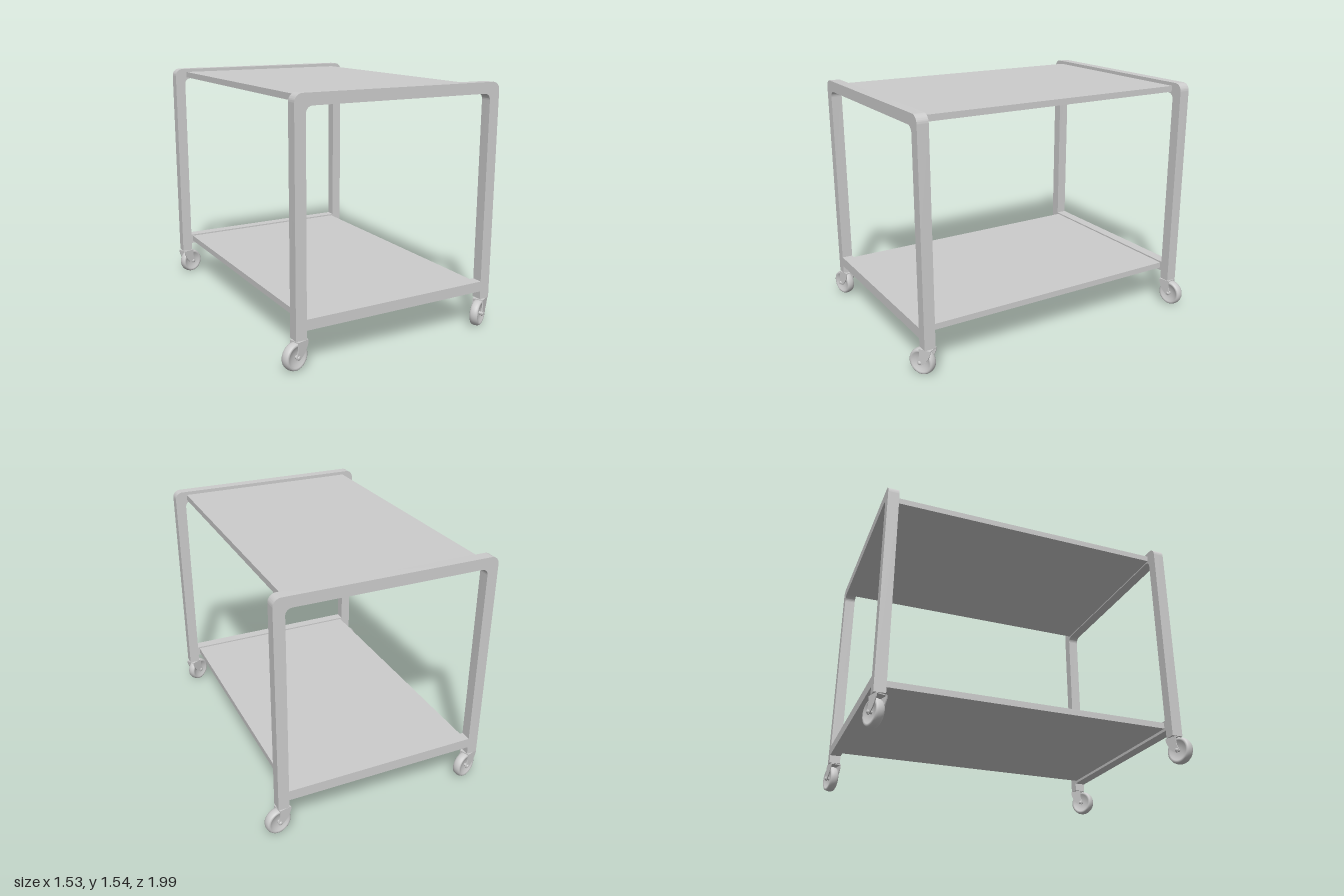
import * as THREE from 'three';
import { toCreasedNormals } from 'three/addons/utils/BufferGeometryUtils.js';

const grey = new THREE.MeshStandardMaterial({ color: 0xcccccc });

function part(name, geometry, x = 0, y = 0, z = 0, parent) {
  const mesh = new THREE.Mesh(geometry, grey);
  mesh.name = name;
  mesh.position.set(x, y, z);
  parent.add(mesh);
  return mesh;
}

// Upside-down U with rounded corners, traced as one half of an outline
function archPoints(path, half, top, bottom, r) {
  path.moveTo(-half, bottom);
  path.lineTo(half, bottom);
  path.lineTo(half, top - r);
  path.absarc(half - r, top - r, r, 0, Math.PI / 2);
  path.lineTo(-half + r, top);
  path.absarc(-half + r, top - r, r, Math.PI / 2, Math.PI);
  path.closePath();
  return path;
}

const DEPTH = 0.07;

// Bent tube frame: legs, top bar and lower cross bar
function endFrame(name, z, parent) {
  const group = new THREE.Group();
  group.name = name;
  group.position.z = z;
  parent.add(group);
  const outer = 0.685, inner = 0.617, top = 1.538, bottom = 0.177;
  const shape = new THREE.Shape();
  shape.moveTo(inner, bottom);
  shape.lineTo(outer, bottom);
  shape.lineTo(outer, top - 0.05);
  shape.absarc(outer - 0.05, top - 0.05, 0.05, 0, Math.PI / 2);
  shape.lineTo(-outer + 0.05, top);
  shape.absarc(-outer + 0.05, top - 0.05, 0.05, Math.PI / 2, Math.PI);
  shape.lineTo(-outer, bottom);
  shape.lineTo(-inner, bottom);
  shape.lineTo(-inner, 1.47 - 0.04);
  shape.absarc(-inner + 0.04, 1.43, 0.04, Math.PI, Math.PI / 2, true);
  shape.lineTo(inner - 0.04, 1.47);
  shape.absarc(inner - 0.04, 1.43, 0.04, Math.PI / 2, 0, true);
  shape.closePath();
  const arch = new THREE.ExtrudeGeometry(shape, { depth: DEPTH, bevelEnabled: false, curveSegments: 10 });
  arch.translate(0, 0, -DEPTH / 2);
  part('legArch', toCreasedNormals(arch, 0.5), 0, 0, 0, group);
  part('lowerCrossBar', new THREE.BoxGeometry(inner * 2, 0.065, DEPTH), 0, 0.262, 0, group);
}

const R = 0.0825, TRAIL = 0.035;

// Dished wheel with a rounded tread, spun about its axle
function wheelGeometry() {
  const side = [[0, 0.012], [0.02, 0.012], [0.045, 0.016], [0.062, 0.025], [0.07, 0.027], [0.077, 0.023], [0.081, 0.013]];
  const points = [
    ...side.map(([r, h]) => new THREE.Vector2(r, -h)),
    new THREE.Vector2(R, 0),
    ...side.map(([r, h]) => new THREE.Vector2(r, h)).reverse(),
  ];
  return new THREE.LatheGeometry(points, 40).rotateX(Math.PI / 2);
}

// Fork cheek: wide at the top plate, curving down to the axle
function cheekGeometry() {
  const shape = new THREE.Shape();
  shape.moveTo(-0.04, 0.17);
  shape.lineTo(-0.04, 0.155);
  shape.quadraticCurveTo(-0.02, 0.09, TRAIL - 0.008, R - 0.016);
  shape.absarc(TRAIL, R, 0.017, -2, 0.6);
  shape.quadraticCurveTo(0.032, 0.12, 0.037, 0.17);
  shape.closePath();
  const g = new THREE.ExtrudeGeometry(shape, { depth: 0.006, bevelEnabled: false, curveSegments: 10 });
  g.translate(0, 0, -0.003);
  return toCreasedNormals(g, 0.5);
}

// Swivel caster; local +x is the trailing direction
function caster(name, x, z, dx, dz, parent) {
  const group = new THREE.Group();
  group.name = name;
  group.position.set(x, 0, z);
  group.rotation.y = Math.atan2(-dz, dx);
  parent.add(group);
  part('wheel', wheelGeometry(), TRAIL, R, 0, group);
  for (const s of [-1, 1]) part('forkCheek', cheekGeometry(), 0, 0, s * 0.032, group);
  part('forkPlate', new THREE.BoxGeometry(0.077, 0.006, 0.07), -0.0015, 0.169, 0, group);
  part('stem', new THREE.CylinderGeometry(0.025, 0.025, 0.012, 24), 0, 0.176, 0, group);
  part('axle', new THREE.CylinderGeometry(0.01, 0.01, 0.074, 16).rotateX(Math.PI / 2), TRAIL, R, 0, group);
  // Domed axle caps
  for (const s of [-1, 1]) {
    const cap = part('axleCap', new THREE.SphereGeometry(0.012, 16, 10), TRAIL, R, s * 0.035, group);
    cap.scale.z = 0.6;
  }
}

export function createModel() {
  const model = new THREE.Group();
  model.name = 'trolley';
  const front = 0.912, back = -0.94;

  endFrame('frontFrame', front, model);
  endFrame('backFrame', back, model);

  // Two flat shelves spanning between the frames
  const length = front - back - DEPTH;
  const middle = (front + back) / 2;
  part('topShelf', new THREE.BoxGeometry(1.21, 0.038, length), 0, 1.497, middle, model);
  part('lowerShelf', new THREE.BoxGeometry(1.21, 0.038, length), 0, 0.266, middle, model);

  // Casters, each swivelled differently
  caster('frontRightCaster', -0.648, front, -0.96, 0.28, model);
  caster('frontLeftCaster', 0.648, front, -0.86, 0.5, model);
  caster('backRightCaster', -0.648, back, 0.95, -0.31, model);
  caster('backLeftCaster', 0.648, back, 0.98, -0.19, model);
  return model;
}
